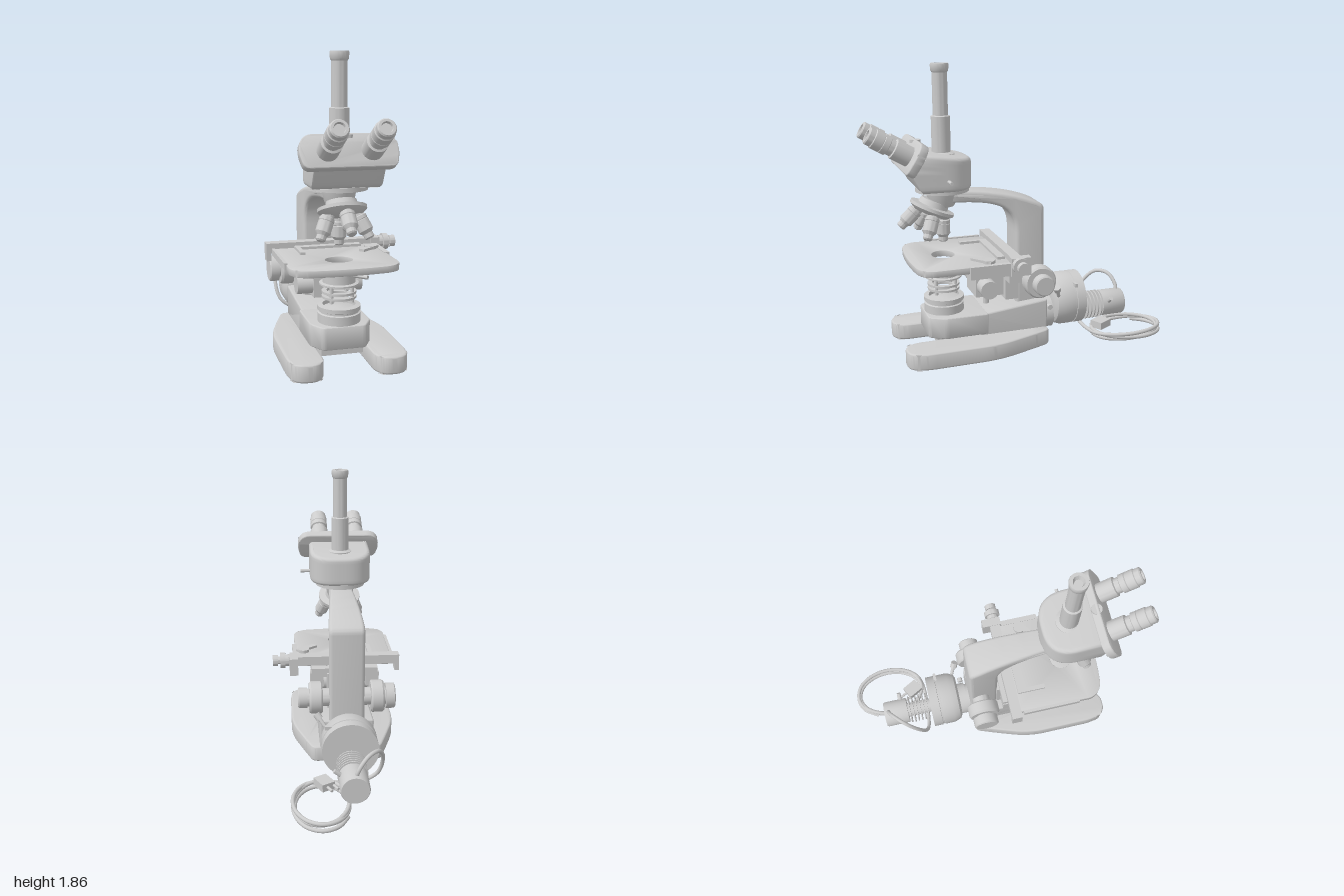
import * as THREE from 'three';
import { toCreasedNormals } from 'three/addons/utils/BufferGeometryUtils.js';

const mat = new THREE.MeshStandardMaterial({ color: 0xcccccc, side: THREE.DoubleSide });
const V = (x, y, z) => new THREE.Vector3(x, y, z);
const X = V(1, 0, 0), Y = V(0, 1, 0), Z = V(0, 0, 1), BACK = V(0, 0, -1);
const clamp = THREE.MathUtils.clamp;

export function createModel() {
  const root = new THREE.Group();
  root.name = 'microscope';
  const body = new THREE.Group();
  body.name = 'opticalAxisGroup';
  body.position.x = -0.057;
  root.add(body);

  const add = (name, geo, x = 0, y = 0, z = 0) => {
    const m = new THREE.Mesh(geo, mat);
    m.name = name;
    m.position.set(x, y, z);
    body.add(m);
    return m;
  };
  const box = (name, x0, x1, y0, y1, z0, z1) =>
    add(name, new THREE.BoxGeometry(x1 - x0, y1 - y0, z1 - z0), (x0 + x1) / 2, (y0 + y1) / 2, (z0 + z1) / 2);
  // Solid of revolution: profile of [radius, distance along dir]
  const turned = (name, profile, pos, dir = Y, seg = 36) => {
    const pts = profile.map(([r, t]) => new THREE.Vector2(r, t));
    const m = add(name, toCreasedNormals(new THREE.LatheGeometry(pts, seg), 0.6), pos.x, pos.y, pos.z);
    m.quaternion.setFromUnitVectors(Y, dir);
    return m;
  };
  const rod = (name, r, len, pos, dir) => turned(name, [[0, 0], [r, 0], [r, len], [0, len]], pos, dir, 24);
  // Polygon with rounded corners: [x, y, radius]
  const rounded = (pts) => {
    const s = new THREE.Shape();
    pts.forEach(([x, y, r], i) => {
      const c = new THREE.Vector2(x, y);
      const toward = ([px, py]) => new THREE.Vector2(px, py).sub(c).setLength(r).add(c);
      const a = toward(pts[(i + pts.length - 1) % pts.length]), b = toward(pts[(i + 1) % pts.length]);
      if (i) s.lineTo(a.x, a.y); else s.moveTo(a.x, a.y);
      s.quadraticCurveTo(x, y, b.x, b.y);
    });
    s.closePath();
    return s;
  };
  const extrude = (shape, depth, bevel, steps = 1) => new THREE.ExtrudeGeometry(shape, {
    depth: depth - 2 * bevel, steps, curveSegments: 12, bevelEnabled: bevel > 0, bevelSize: bevel,
    bevelThickness: bevel, bevelOffset: -bevel, bevelSegments: 4,
  }).translate(0, 0, bevel);
  // Plan outline (x, -z) raised upward, and side outline (z, y) centred across x
  const plan = (shape, h, bevel, steps) => extrude(shape, h, bevel, steps).rotateX(-Math.PI / 2);
  const side = (shape, w, bevel) => extrude(shape, w, bevel).translate(0, 0, -w / 2).rotateY(-Math.PI / 2);
  const bend = (geo, rule) => {
    const p = geo.attributes.position, v = V(0, 0, 0);
    for (let i = 0; i < p.count; i++) {
      rule(v.fromBufferAttribute(p, i));
      p.setXYZ(i, v.x, v.y, v.z);
    }
    return toCreasedNormals(geo, 0.6);
  };
  const tube = (name, pts, r, n) => add(name, new THREE.TubeGeometry(new THREE.CatmullRomCurve3(pts), n, r, 10));

  // Horseshoe base
  const half = [[0.15, -0.3, 0.04], [0.15, -0.74, 0.05], [0.2, -0.81, 0.04], [0.33, -0.81, 0.07],
    [0.365, -0.7, 0.06], [0.365, -0.22, 0.12], [0.28, 0.03, 0.08], [0.23, 0.165, 0.04]];
  const mirrored = half.map(([x, y, r]) => [-x, y, r]).reverse();
  add('base', toCreasedNormals(plan(rounded([...half, ...mirrored]), 0.108, 0.014), 0.6));
  add('baseBody', toCreasedNormals(side(rounded([[0.3, 0.08, 0.01], [0.3, 0.25, 0.01], [-0.165, 0.3, 0.01],
    [-0.165, 0.08, 0.01]]), 0.36, 0.012), 0.6));

  // Light well between the feet
  const well = rounded([[-0.19, -0.25, 0.01], [-0.19, -0.53, 0.02], [-0.13, -0.635, 0.02], [0.13, -0.635, 0.02],
    [0.19, -0.53, 0.02], [0.19, -0.25, 0.01]]);
  add('lightWell', toCreasedNormals(plan(well, 0.14, 0.008), 0.6), 0, 0.115, 0);
  box('lightWellFloor', -0.13, 0.13, 0.065, 0.13, 0.27, 0.58);
  turned('fieldLens', [[0.13, 0], [0.13, 0.06], [0.12, 0.065], [0.12, 0.075], [0.132, 0.08], [0.132, 0.105],
    [0.1, 0.11], [0.1, 0.085], [0.05, 0.095], [0, 0.098]], V(0, 0.25, 0.5));

  // Curved arm, narrowing toward the head
  const a = new THREE.Shape();
  a.moveTo(0.5, 1.06);
  a.lineTo(0.38, 1.058);
  a.bezierCurveTo(0.15, 1.05, -0.04, 1.0, -0.135, 0.95);
  a.quadraticCurveTo(-0.165, 0.935, -0.165, 0.9);
  a.lineTo(-0.165, 0.1);
  a.lineTo(0.03, 0.1);
  a.lineTo(0.03, 0.76);
  a.bezierCurveTo(0.03, 0.93, 0.13, 0.975, 0.4, 0.985);
  a.lineTo(0.5, 0.985);
  add('arm', bend(side(a, 0.235, 0.025), (v) => { v.x *= 1 - 0.32 * clamp((v.z + 0.1) / 0.45, 0, 1); }));

  // Head mount and prism housing
  turned('headMount', [[0, 0], [0.075, 0], [0.09, 0.03], [0.105, 0.1], [0.172, 0.1], [0.172, 0.128], [0, 0.128]], V(0, 0.96, 0.495));
  const headPlan = rounded([[-0.212, -0.32, 0.19], [-0.212, -0.7, 0.01], [0.212, -0.7, 0.01], [0.212, -0.32, 0.19]]);
  add('prismHousing', bend(plan(headPlan, 0.23, 0.025, 8), (v) => {
    v.y = 1.085 + v.y * (0.85 + 0.2 * clamp((v.z - 0.33) / 0.31, 0, 1));
    const front = v.y < 1.21 ? 0.665 + (v.y - 1.085) * 0.55 : 0.733 - (v.y - 1.21) * 0.577;
    v.z += clamp((v.z - 0.5) / 0.2, 0, 1) * (front - 0.7);
  }));
  rod('beamSelectorPin', 0.011, 0.08, V(0.2, 1.155, 0.5), X);

  // Tilted eyepiece plate with two eyepieces
  const plate = rounded([[-0.27, -0.105, 0.04], [0.27, -0.105, 0.04], [0.295, 0.0, 0.04], [0.27, 0.105, 0.07],
    [-0.27, 0.105, 0.07], [-0.295, 0.0, 0.04]]);
  add('eyepiecePlate', toCreasedNormals(extrude(plate, 0.055, 0.008), 0.6), 0, 1.285, 0.675).rotation.x = -Math.PI / 6;
  const look = V(0, 0.5, Math.sqrt(0.75));
  for (const s of [-1, 1]) {
    turned('eyepiece', [[0, 0], [0.064, 0], [0.064, 0.15], [0.051, 0.155], [0.051, 0.185], [0.061, 0.19], [0.061, 0.225],
      [0.057, 0.228], [0.061, 0.231], [0.061, 0.285], [0.055, 0.29], [0.055, 0.322], [0.048, 0.33], [0.034, 0.33],
      [0.03, 0.315], [0, 0.315]], V(s * 0.13, 1.29, 0.69), look);
    rod('plateScrew', 0.012, 0.02, V(s * 0.1, 1.37, 0.66), Y);
  }
  rod('plateKnob', 0.035, 0.02, V(0, 1.375, 0.66), Y);

  // Vertical camera tube
  turned('cameraTube', [[0.085, 0], [0.085, 0.03], [0.06, 0.04], [0.06, 0.265], [0.048, 0.27], [0.048, 0.535],
    [0.055, 0.545], [0.058, 0.58], [0.055, 0.59], [0.035, 0.59], [0.025, 0.56], [0, 0.56]], V(0, 1.27, 0.495));

  // Tilted turret with four objectives; the rear one hangs vertically
  const tilt = 0.4, axis = V(0, -Math.cos(tilt), Math.sin(tilt)), hub = V(0, 0.945, 0.565);
  turned('turret', [[0, -0.055], [0.09, -0.055], [0.1, -0.02], [0.147, -0.015], [0.147, 0.005], [0.115, 0.03], [0, 0.045]], hub, axis);
  for (let i = 0; i < 4; i++) {
    const out = V(0, -Math.sin(tilt), -Math.cos(tilt)).applyAxisAngle(axis, i * Math.PI / 2);
    const dir = axis.clone().multiplyScalar(Math.cos(tilt)).addScaledVector(out, Math.sin(tilt));
    turned('objective', [[0, 0], [0.038, 0], [0.038, 0.045], [0.046, 0.05], [0.046, 0.07], [0.043, 0.073], [0.046, 0.076],
      [0.046, 0.14], [0.03, 0.16], [0.03, 0.185], [0.022, 0.193], [0, 0.193]], hub.clone().addScaledVector(out, 0.076), dir);
  }

  // Stage plate with light opening
  const stage = rounded([[-0.325, -0.1, 0.01], [-0.335, -0.66, 0.05], [-0.27, -0.72, 0.05], [0, -0.75, 0.2],
    [0.27, -0.72, 0.05], [0.335, -0.66, 0.05], [0.325, -0.1, 0.01]]);
  const hole = new THREE.Path();
  hole.absellipse(0, -0.5, 0.085, 0.075, 0, Math.PI * 2);
  stage.holes.push(hole);
  add('stage', toCreasedNormals(plan(stage, 0.042, 0.004), 0.6), 0, 0.59, 0);

  // Mechanical stage carriage
  box('carriageBar', -0.375, 0.377, 0.605, 0.668, 0.07, 0.14);
  box('carriageLip', -0.375, -0.345, 0.555, 0.61, 0.07, 0.14);
  box('carriageBracket', 0.315, 0.372, 0.555, 0.672, 0.02, 0.15);
  box('sideRail', 0.315, 0.35, 0.555, 0.636, 0.1, 0.41);
  box('leftRail', -0.345, -0.325, 0.6, 0.64, 0.16, 0.55);
  box('specimenHolder', -0.2, 0.23, 0.632, 0.648, 0.15, 0.2);
  box('specimenArm', -0.2, -0.17, 0.632, 0.648, 0.2, 0.34);
  rod('clipPivot', 0.04, 0.02, V(0.272, 0.632, 0.27));
  box('specimenClip', 0.17, 0.33, 0.634, 0.65, 0.285, 0.325).rotation.y = 0.65;
  turned('carriageKnobs', [[0, 0], [0.04, 0], [0.04, 0.025], [0.053, 0.025], [0.053, 0.06], [0.025, 0.06], [0.025, 0.075],
    [0.038, 0.075], [0.038, 0.11], [0, 0.11]], V(0.375, 0.635, 0.107), X);

  // Stage support and condenser carrier
  box('stageSupport', -0.225, 0.225, 0.53, 0.592, 0.04, 0.31);
  box('focusSlide', -0.12, 0.12, 0.31, 0.56, 0.02, 0.11);
  box('condenserCarrier', -0.11, 0.11, 0.345, 0.55, 0.12, 0.31);
  rod('condenserKnob', 0.06, 0.42, V(-0.21, 0.42, 0.245), X);
  rod('supportPost', 0.02, 0.12, V(0, 0.25, 0.21));
  for (const s of [-1, 1]) box('supportCheek', s * 0.188 - 0.045, s * 0.188 + 0.045, 0.46, 0.56, 0.04, 0.12);

  // Condenser with filter rings on pins
  turned('condenser', [[0, 0], [0.085, 0], [0.12, 0.005], [0.12, 0.015], [0.1, 0.02], [0.1, 0.07], [0.112, 0.072],
    [0.112, 0.092], [0.06, 0.105], [0, 0.108]], V(0, 0.478, 0.5));
  box('condenserBracket', -0.05, 0.05, 0.49, 0.55, 0.29, 0.43);
  for (const y of [0.4, 0.43]) turned('filterRing', [[0.075, 0], [0.105, 0], [0.105, 0.014], [0.075, 0.014], [0.075, 0]], V(0, y, 0.5));
  for (let i = 0; i < 4; i++) {
    const t = Math.PI / 4 + i * Math.PI / 2;
    rod('filterPin', 0.011, 0.105, V(0.09 * Math.cos(t), 0.38, 0.5 + 0.09 * Math.sin(t)));
  }
  rod('diaphragmLever', 0.013, 0.1, V(0.07, 0.545, 0.56), V(0.7, 0, 0.714));

  // Coarse and fine focus knobs
  for (const s of [-1, 1]) {
    const r = s < 0 ? 0.085 : 0.068;
    turned('focusKnobs', [[0, 0], [0.06, 0], [0.06, 0.06], [0.098, 0.06], [0.108, 0.07], [0.108, 0.135], [0.098, 0.148],
      [0.06, 0.148], [0.06, 0.16], [r, 0.16], [r, 0.215], [r - 0.008, 0.222], [0, 0.222]], V(s * 0.1, 0.445, -0.095), V(s, 0, 0));
  }

  // Rear lamp house, cooling fins and socket
  turned('lampCollar', [[0, 0], [0.1, 0], [0.1, 0.03], [0.112, 0.03], [0.112, 0.09], [0, 0.09]], V(0, 0.15, -0.155), BACK);
  turned('lampHouse', [[0, 0], [0.14, 0], [0.165, 0.015], [0.182, 0.06], [0.182, 0.135], [0.177, 0.137], [0.177, 0.15],
    [0.182, 0.152], [0.182, 0.215], [0, 0.215]], V(0, 0.232, -0.24), BACK, 48);
  box('lampHouseSlot', 0.1, 0.16, 0.35, 0.375, -0.395, -0.375);
  rod('lampCore', 0.05, 0.2, V(0, 0.15, -0.45), BACK);
  for (let i = 0; i < 6; i++) rod('coolingFin', 0.097, 0.008, V(0, 0.15, -0.478 - i * 0.026), BACK);
  turned('lampSocket', [[0, 0], [0.091, 0], [0.091, 0.16], [0.085, 0.17], [0, 0.17]], V(0, 0.152, -0.628), BACK);
  rod('socketScrew', 0.014, 0.05, V(0.08, 0.19, -0.67), V(0.8, 0.6, 0));
  const screwDir = V(0.55, 0.75, 0.36).normalize();
  turned('clampScrew', [[0, 0], [0.012, 0], [0.012, 0.1], [0.024, 0.1], [0.024, 0.14], [0, 0.14]], V(0.13, 0.28, -0.27), screwDir);
  rod('collarScrew', 0.018, 0.03, V(0.105, 0.22, -0.205), X);

  // Power cable: lead from the socket, then coiled on the ground
  const cable = [V(0, 0.2, -0.76), V(-0.02, 0.27, -0.765), V(-0.08, 0.34, -0.73), V(-0.15, 0.34, -0.66),
    V(-0.19, 0.24, -0.57), V(-0.16, 0.1, -0.51), V(-0.05, 0.035, -0.49)];
  for (let i = 0; i <= 32; i++) {
    const t = i / 12 * Math.PI * 2, k = 1 - 0.07 * (0.5 - 0.5 * Math.cos(t * 0.38));
    cable.push(V(0.2 + 0.175 * k * Math.sin(t), 0.036 + 0.022 * Math.sin(t * 0.7), -0.735 + 0.25 * k * Math.cos(t)));
  }
  tube('powerCable', cable, 0.013, 260);
  box('powerPlug', 0.13, 0.22, 0.05, 0.1, -0.62, -0.51).rotation.y = 0.5;
  for (const s of [-1, 1]) rod('plugPin', 0.009, 0.06, V(0.14 + s * 0.02, 0.075, -0.6 - s * 0.01), V(-0.48, 0, -0.877));
  return root;
}
